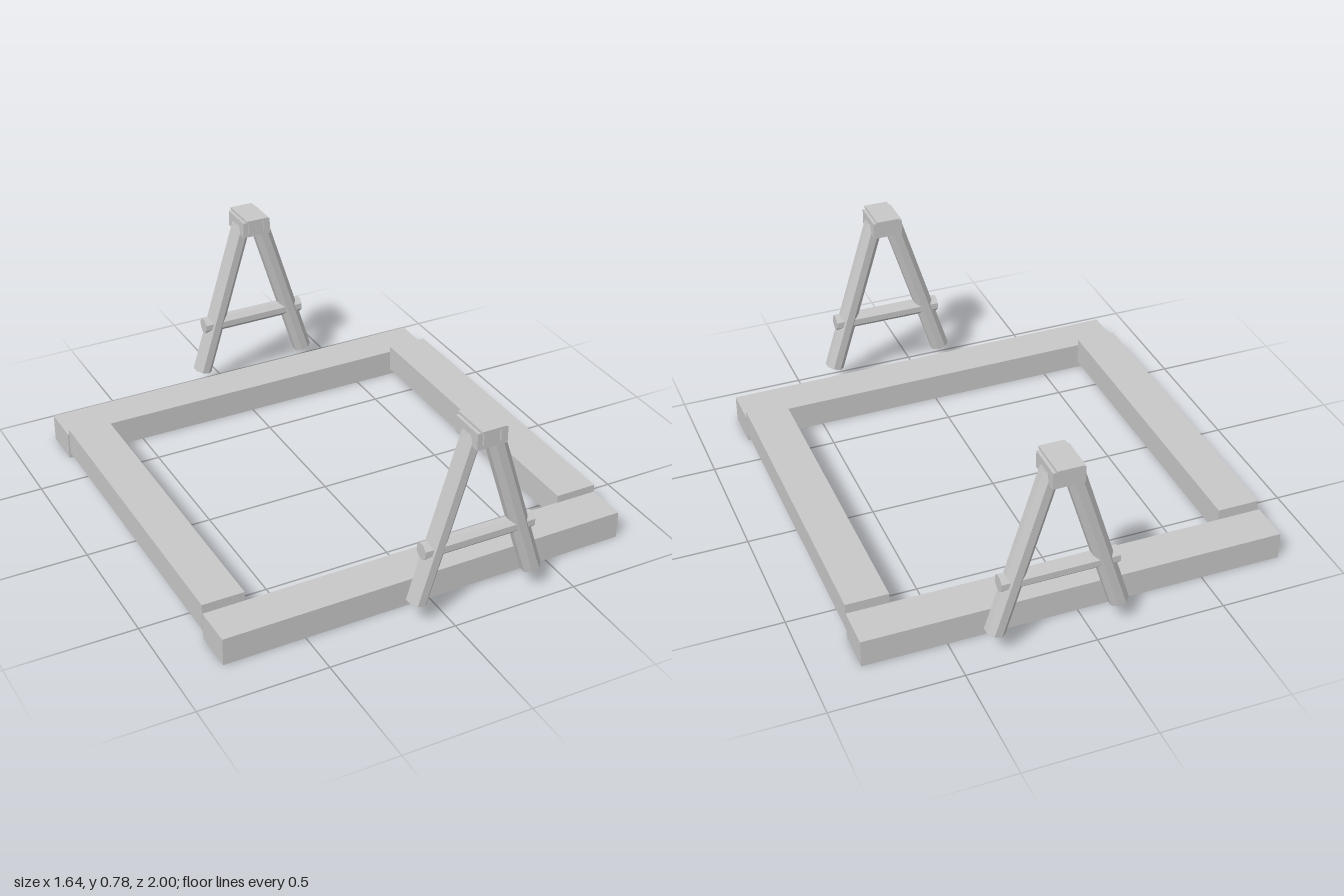
import * as THREE from 'three';

export function createModel() {
  const model = new THREE.Group();
  const wood = new THREE.MeshStandardMaterial({ color: 0xc8c8c8, flatShading: true });
  wood.name = 'plain grey';

  function box(parent, name, size, position) {
    const mesh = new THREE.Mesh(new THREE.BoxGeometry(...size), wood);
    mesh.name = name;
    mesh.position.set(...position);
    parent.add(mesh);
    return mesh;
  }

  // Eight-sided pole between two points
  function pole(parent, name, from, to, radius) {
    const a = new THREE.Vector3(...from), b = new THREE.Vector3(...to);
    const dir = b.clone().sub(a);
    const geometry = new THREE.CylinderGeometry(radius, radius, dir.length(), 8);
    geometry.rotateY(Math.PI / 8);
    const mesh = new THREE.Mesh(geometry, wood);
    mesh.name = name;
    mesh.position.copy(a).add(b).multiplyScalar(0.5);
    mesh.quaternion.setFromUnitVectors(new THREE.Vector3(0, 1, 0), dir.normalize());
    parent.add(mesh);
  }

  // Ground frame: the cross beams sit slightly askew, the side beams a little higher
  const frame = new THREE.Group();
  frame.name = 'groundFrame';
  box(frame, 'frontBeam', [1.64, 0.11, 0.163], [0, 0.055, 0.734]).rotation.y = 0.007;
  box(frame, 'backBeam', [1.64, 0.11, 0.163], [0, 0.055, -0.743]).rotation.y = -0.002;
  for (const side of [-1, 1]) {
    box(frame, side > 0 ? 'leftBeam' : 'rightBeam', [0.165, 0.11, 1.3], [side * 0.736, 0.086, 0]);
  }
  model.add(frame);

  // A-shaped trestle, both copies facing the same way
  function trestle(name, z) {
    const group = new THREE.Group();
    group.name = name;
    for (const side of [-1, 1]) {
      pole(group, side > 0 ? 'leftLeg' : 'rightLeg',
        [side * 0.237, 0.092, 0], [side * 0.037, 0.737, 0], 0.039);
      // Prongs of the clamp folded down over the front of the cap
      box(group, 'clampProng', [0.012, 0.05, 0.01], [side * 0.034, 0.75, 0.073]);
    }
    pole(group, 'crossbar', [-0.224, 0.303, 0], [0.224, 0.303, 0], 0.033);
    box(group, 'capBlock', [0.12, 0.066, 0.142], [0, 0.738, -0.001]);
    box(group, 'clampPlate', [0.096, 0.01, 0.16], [0, 0.776, 0]);
    group.position.set(0.123, 0, z);
    model.add(group);
  }
  trestle('frontTrestle', 0.917);
  trestle('backTrestle', -0.92);

  return model;
}
